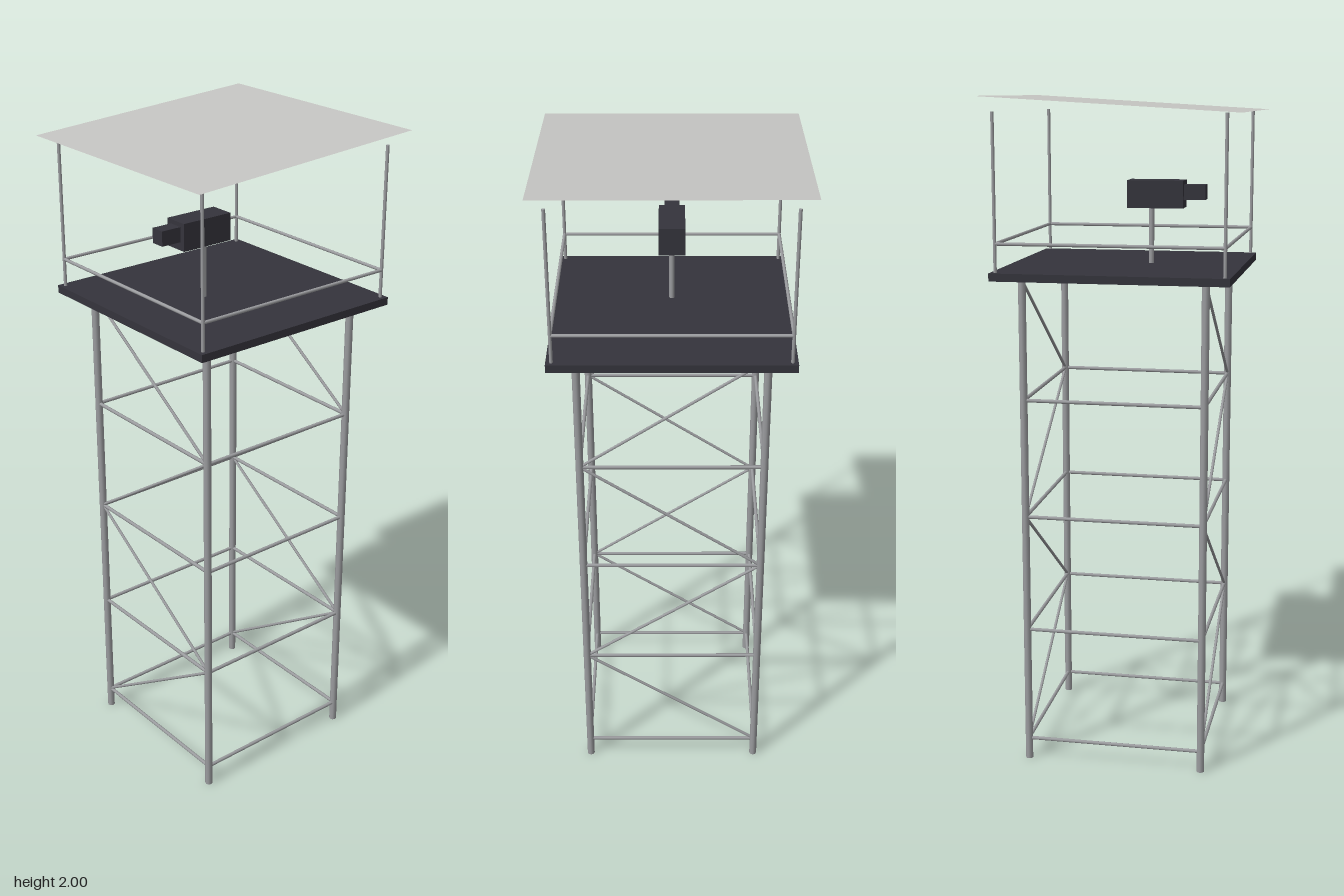
import * as THREE from 'three';

const material = (name, color, side = THREE.FrontSide) =>
  Object.assign(new THREE.MeshStandardMaterial({ color, side }), { name });

export function createModel() {
  const steel = material('steel grey', 0x9c9da0);
  const dark = material('dark charcoal', 0x35343c);
  const sheet = material('pale roof sheet', 0xc6c6c3, THREE.DoubleSide);

  const tower = new THREE.Group();
  tower.name = 'watchtower';

  const group = (name) => {
    const g = new THREE.Group();
    g.name = name;
    tower.add(g);
    return g;
  };
  const add = (parent, name, geometry, mat, x = 0, y = 0, z = 0) => {
    const mesh = new THREE.Mesh(geometry, mat);
    mesh.name = name;
    mesh.position.set(x, y, z);
    parent.add(mesh);
    return mesh;
  };
  // Round tube between two points
  const bar = (parent, name, from, to, radius) => {
    const a = new THREE.Vector3(...from), b = new THREE.Vector3(...to);
    const dir = b.clone().sub(a);
    const mesh = add(parent, name, new THREE.CylinderGeometry(radius, radius, dir.length(), 8), steel);
    mesh.position.copy(a).add(b).multiplyScalar(0.5);
    mesh.quaternion.setFromUnitVectors(new THREE.Vector3(0, 1, 0), dir.normalize());
  };
  // Four bars around a square at one height
  const ring = (parent, name, h, y, radius) => {
    for (const s of [-1, 1]) {
      bar(parent, name, [-h, y, s * h], [h, y, s * h], radius);
      bar(parent, name, [s * h, y, -h], [s * h, y, h], radius);
    }
  };

  const L = 0.267;     // leg offset
  const P = 0.328;     // roof post offset
  const deck = 1.51;   // top of the platform
  const levels = [0.065, 0.42, 0.775, 1.13, 1.485];

  // Legs and roof posts at the four corners
  const legs = group('legs');
  const posts = group('roofPosts');
  for (const sx of [-1, 1]) {
    for (const sz of [-1, 1]) {
      bar(legs, 'leg', [sx * L, 0, sz * L], [sx * L, 1.49, sz * L], 0.0115);
      bar(posts, 'roofPost', [sx * P, deck - 0.01, sz * P], [sx * P, 1.957, sz * P], 0.005);
    }
  }

  // Horizontal braces, with zigzag diagonals on the front and back
  const braces = group('braces');
  levels.forEach((y, i) => {
    ring(braces, 'horizontalBrace', L, y, 0.0055);
    if (i === levels.length - 1) return;
    const x = i % 2 ? L : -L;
    for (const z of [-L, L]) bar(braces, 'diagonalBrace', [x, y, z], [-x, levels[i + 1], z], 0.0045);
  });

  // Platform and guard rail
  add(tower, 'platform', new THREE.BoxGeometry(0.688, 0.023, 0.688), dark, 0, deck - 0.0115, 0);
  ring(group('guardRail'), 'rail', P, 1.592, 0.005);

  // Searchlight on its stand, pointing forward
  const light = group('searchlight');
  bar(light, 'stand', [0, deck - 0.01, 0.065], [0, 1.68, 0.065], 0.008);
  add(light, 'housing', new THREE.BoxGeometry(0.076, 0.081, 0.167), dark, 0, 1.716, 0.081);
  add(light, 'snout', new THREE.BoxGeometry(0.044, 0.044, 0.065), dark, 0, 1.722, 0.196);

  // Thin roof sheet, rising toward the back
  const slope = Math.atan2(0.043, 0.746);
  const roof = add(tower, 'roof', new THREE.PlaneGeometry(0.748, 0.747), sheet, 0, 1.9785, 0);
  roof.rotation.x = -Math.PI / 2 + slope;

  return tower;
}
